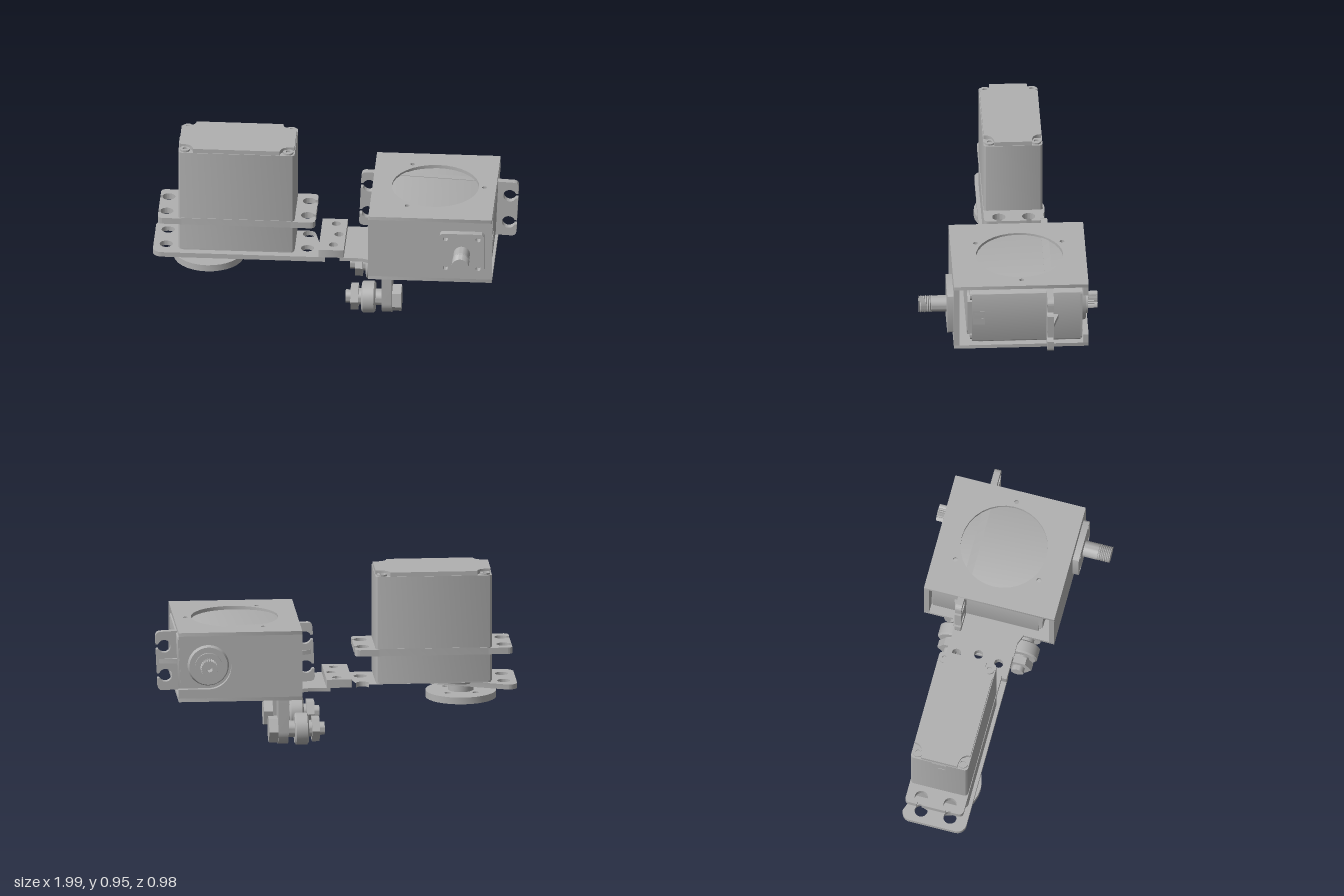
import * as THREE from 'three';
import { toCreasedNormals } from 'three/addons/utils/BufferGeometryUtils.js';

const PI = Math.PI;
const grey = new THREE.MeshStandardMaterial({ color: 0xb0b0b0 });
grey.name = 'grey';

function add(parent, name, geometry, x = 0, y = 0, z = 0) {
  const mesh = new THREE.Mesh(toCreasedNormals(geometry, 0.6), grey);
  mesh.name = name;
  mesh.position.set(x, y, z);
  parent.add(mesh);
  return mesh;
}

const box = (w, h, d) => new THREE.BoxGeometry(w, h, d);
const rod = (r, h, n = 40, r2 = r) => new THREE.CylinderGeometry(r, r2, h, n);
const rodX = (r, h, n) => rod(r, h, n).rotateZ(PI / 2);

function roundRect(x0, x1, y0, y1, r, Type = THREE.Shape) {
  const s = new Type();
  s.absarc(x1 - r, y1 - r, r, 0, PI / 2);
  s.absarc(x0 + r, y1 - r, r, PI / 2, PI);
  s.absarc(x0 + r, y0 + r, r, PI, 1.5 * PI);
  s.absarc(x1 - r, y0 + r, r, 1.5 * PI, 2 * PI);
  s.closePath();
  return s;
}

function withHoles(shape, holes) {
  for (const [x, y, r] of holes) shape.holes.push(new THREE.Path().absarc(x, y, r, 0, 2 * PI, true));
  return shape;
}

const extrude = (shape, depth) =>
  new THREE.ExtrudeGeometry(shape, { depth, bevelEnabled: false, curveSegments: 16 });
// Horizontal plate rising from its origin; the shape's y runs toward -z
const slab = (shape, h) => extrude(shape, h).rotateX(-PI / 2);

// Mounting ear with two round screw holes open to the outer edge
function earShape() {
  const s = new THREE.Shape();
  const end = 0.433, half = 0.165, c = 0.387, r = 0.036, slot = 0.014;
  const a = Math.asin(slot / r);
  s.moveTo(0.3, -half);
  s.lineTo(end - 0.03, -half);
  s.quadraticCurveTo(end, -half, end, -half + 0.03);
  for (const y of [-0.082, 0.082]) {
    s.lineTo(end, y - slot);
    s.absarc(c, y, r, -a, a, true);
    s.lineTo(end, y + slot);
  }
  s.lineTo(end, half - 0.03);
  s.quadraticCurveTo(end, half, end - 0.03, half);
  s.lineTo(0.3, half);
  s.closePath();
  return s;
}

// Lid outline with a pocket cut into each corner
function lidShape(a, b) {
  const px = 0.078, py = 0.055, s = new THREE.Shape();
  s.moveTo(a, -b + py);
  s.lineTo(a, b - py);
  s.quadraticCurveTo(a - px, b - py, a - px, b);
  s.lineTo(-a + px, b);
  s.quadraticCurveTo(-a + px, b - py, -a, b - py);
  s.lineTo(-a, -b + py);
  s.quadraticCurveTo(-a + px, -b + py, -a + px, -b);
  s.lineTo(a - px, -b);
  s.quadraticCurveTo(a - px, -b + py, a, -b + py);
  return s;
}

function starShape(r, depth, teeth) {
  const pts = [];
  for (let i = 0; i < teeth * 2; i++) {
    const a = (i * PI) / teeth, q = i % 2 ? r : r - depth;
    pts.push(new THREE.Vector2(q * Math.cos(a), q * Math.sin(a)));
  }
  return new THREE.Shape(pts);
}

// Servo motor: stands on y = 0 with the output shaft pointing down at x = 0.16
function servo(name) {
  const g = new THREE.Group();
  g.name = name;
  add(g, 'gearCase', slab(roundRect(-0.315, 0.315, -0.157, 0.157, 0.02), 0.012));
  add(g, 'lowerCase', slab(roundRect(-0.32, 0.32, -0.162, 0.162, 0.02), 0.153), 0, 0.01);
  add(g, 'middleBand', slab(roundRect(-0.316, 0.316, -0.165, 0.165, 0.02), 0.04), 0, 0.16);
  add(g, 'upperCase', slab(roundRect(-0.32, 0.32, -0.162, 0.162, 0.02), 0.408), 0, 0.198);
  add(g, 'lid', slab(lidShape(0.317, 0.158), 0.025), 0, 0.605);
  for (const sx of [-1, 1]) {
    const ear = add(g, 'mountingEar', slab(earShape(), 0.036), 0, 0.16);
    const rib = new THREE.Shape([[0.31, 0], [0.31, -0.03], [0.325, -0.03], [0.425, 0]]
      .map(p => new THREE.Vector2(...p)));
    const gusset = add(g, 'earGusset', extrude(rib, 0.024).translate(0, 0, -0.012), 0, 0.162);
    if (sx < 0) ear.rotation.y = gusset.rotation.y = PI;
    for (const sz of [-1, 1]) {
      const screw = withHoles(new THREE.Shape().absarc(0, 0, 0.028, 0, 2 * PI), [[0, 0, 0.013]]);
      add(g, 'lidScrew', slab(screw, 0.012), sx * 0.284, 0.604, sz * 0.128);
    }
  }
  // Small framed window in the end face
  const win = roundRect(-0.042, 0.042, 0, 0.066, 0.002);
  win.holes.push(roundRect(-0.034, 0.034, 0.008, 0.058, 0.002, THREE.Path));
  add(g, 'endWindowFrame', extrude(win, 0.006).rotateY(PI / 2), 0.317, 0.535);
  add(g, 'endWindowTab', box(0.006, 0.05, 0.03), 0.32, 0.568, 0.019);
  // Output boss and splined shaft
  add(g, 'outputBoss', rod(0.115, 0.025, 48, 0.105), 0.16, -0.01);
  add(g, 'bearingRing', rod(0.075, 0.02), 0.16, -0.025);
  const spline = withHoles(starShape(0.047, 0.006, 24), [[0, 0, 0.018]]);
  add(g, 'splineShaft', slab(spline, 0.06), 0.16, -0.09);
  return g;
}

// Guide roller: bracket tab, bolt, roller and nut along x
function roller(z) {
  const g = new THREE.Group();
  g.name = 'guideRoller';
  const tab = new THREE.Shape();
  tab.moveTo(0.08, 0.3);
  tab.lineTo(-0.08, 0.3);
  tab.lineTo(-0.08, 0.09);
  tab.absarc(0, 0.09, 0.08, PI, 2 * PI);
  tab.closePath();
  add(g, 'bracketTab', extrude(tab, 0.056).rotateY(PI / 2), 0.267);
  add(g, 'tabFoot', box(0.085, 0.015, 0.16), 0.295, 0.29);
  add(g, 'boltShank', rodX(0.036, 0.27, 24), 0.2, 0.09);
  const head = add(g, 'boltHead', rodX(0.076, 0.05, 6), 0.348, 0.09);
  head.rotation.x = z > 0 ? 0.3 : 0;
  add(g, 'boltCollar', rodX(0.062, 0.012, 32), 0.32, 0.09);
  add(g, 'rollerSpacer', rodX(0.045, 0.045, 32), 0.247, 0.09);
  const profile = [[0.036, -0.038], [0.078, -0.038], [0.088, -0.03], [0.088, 0.03], [0.078, 0.038], [0.036, 0.038]];
  add(g, 'rollerWheel', new THREE.LatheGeometry(profile.map(p => new THREE.Vector2(...p)), 48).rotateZ(PI / 2), 0.192, 0.09);
  add(g, 'innerSpacer', rodX(0.045, 0.025, 32), 0.145, 0.09);
  add(g, 'lockNut', rodX(0.074, 0.042, 6), 0.115, 0.09);
  g.position.z = z;
  return g;
}

export function createModel() {
  const model = new THREE.Group();
  model.name = 'servoLinkage';

  // Upright servo and its round horn
  const upright = servo('uprightServo');
  upright.position.set(-0.54, 0.325, -0.07);
  upright.rotation.y = PI;
  model.add(upright);
  const hornHoles = [[0, 0, 0.022]];
  for (let i = 0; i < 4; i++) hornHoles.push([0.11 * Math.cos(i * PI / 2 + 0.78), 0.11 * Math.sin(i * PI / 2 + 0.78), 0.018]);
  const disc = withHoles(new THREE.Shape().absarc(0, 0, 0.195, 0, 2 * PI), hornHoles);
  add(model, 'hornDisc', slab(disc, 0.038), -0.7, 0.212, -0.07);
  add(model, 'hornHub', rod(0.07, 0.05), -0.7, 0.27, -0.07);

  // Stepped arm plate
  const corners = [[-0.93, 0.152, 0.036], [-0.93, -0.012, 0.036], [-0.153, 0.152, 0.036], [-0.153, -0.012, 0.036]];
  const plate = new THREE.Shape();
  plate.moveTo(-0.05, 0.25);
  plate.absarc(-0.95, 0.2, 0.05, PI / 2, PI);
  plate.absarc(-0.95, -0.06, 0.05, PI, 1.5 * PI);
  plate.lineTo(-0.05, -0.11);
  plate.closePath();
  add(model, 'armPlate', slab(withHoles(plate, corners), 0.028), 0, 0.287);
  const step = roundRect(-0.087, 0.052, -0.11, 0.25, 0.002);
  const stepHoles = [[-0.008, 0.195, 0.025], [0.015, 0.075, 0.025], [-0.008, -0.045, 0.025]];
  add(model, 'armStep', slab(withHoles(step, stepHoles), 0.046), 0, 0.315);
  const neck = new THREE.Shape([[0.03, -0.11], [0.15, -0.11], [0.2, -0.13], [0.21, -0.13], [0.21, 0.27],
    [0.2, 0.27], [0.15, 0.25], [0.03, 0.25]].map(p => new THREE.Vector2(...p)));
  add(model, 'armNeck', slab(neck, 0.02), 0, 0.296);

  // Housing: a square tube open at both ends
  const top = withHoles(roundRect(0.2, 0.88, -0.305, 0.435, 0.002),
    [[0.545, 0.07, 0.24], [0.405, 0.31, 0.013], [0.405, -0.165, 0.013], [0.815, 0.07, 0.013]]);
  add(model, 'housingTop', slab(top, 0.02), 0, 0.665);
  const bottom = roundRect(0.2, 0.88, -0.305, 0.435, 0.002);
  bottom.holes.push(roundRect(0.36, 0.82, -0.15, 0.29, 0.03, THREE.Path));
  add(model, 'housingBottom', slab(bottom, 0.02), 0, 0.295);
  add(model, 'housingFloor', box(0.5, 0.006, 0.48), 0.59, 0.316, -0.07);
  add(model, 'housingFront', box(0.68, 0.35, 0.03), 0.54, 0.49, 0.29);
  const back = new THREE.Shape();
  back.moveTo(0.88, 0.315);
  back.lineTo(0.88, 0.365);
  back.lineTo(0.715, 0.365);
  back.absarc(0.715, 0.49, 0.125, 1.5 * PI, 0.5 * PI, true);
  back.lineTo(0.88, 0.615);
  back.lineTo(0.88, 0.665);
  back.lineTo(0.2, 0.665);
  back.lineTo(0.2, 0.315);
  back.closePath();
  add(model, 'housingBack', extrude(back, 0.03), 0, 0, -0.435);

  // Servo lying in the housing, slightly tilted
  const lying = servo('housedServo');
  lying.rotation.set(PI / 2, 0, -0.045, 'ZYX');
  lying.position.set(0.555, 0.5, -0.4);
  model.add(lying);

  // Front flange with threaded shaft
  const flangeHoles = [];
  for (const sx of [-1, 1]) for (const sy of [-1, 1]) flangeHoles.push([sx * 0.09, sy * 0.09, 0.014]);
  const flange = withHoles(roundRect(-0.122, 0.122, -0.122, 0.122, 0.02), flangeHoles);
  add(model, 'shaftFlange', extrude(flange, 0.035), 0.717, 0.49, 0.305);
  add(model, 'frontShaft', rod(0.045, 0.09).rotateX(PI / 2), 0.717, 0.49, 0.382);
  const thread = [new THREE.Vector2(0, 0)];
  for (let i = 0; i <= 14; i++) thread.push(new THREE.Vector2(i % 2 ? 0.042 : 0.047, i * 0.005));
  thread.push(new THREE.Vector2(0, 0.07));
  add(model, 'shaftThread', new THREE.LatheGeometry(thread, 40).rotateX(PI / 2), 0.717, 0.49, 0.422);

  // Pair of guide rollers under the housing
  for (const z of [0.13, -0.257]) model.add(roller(z));
  return model;
}
